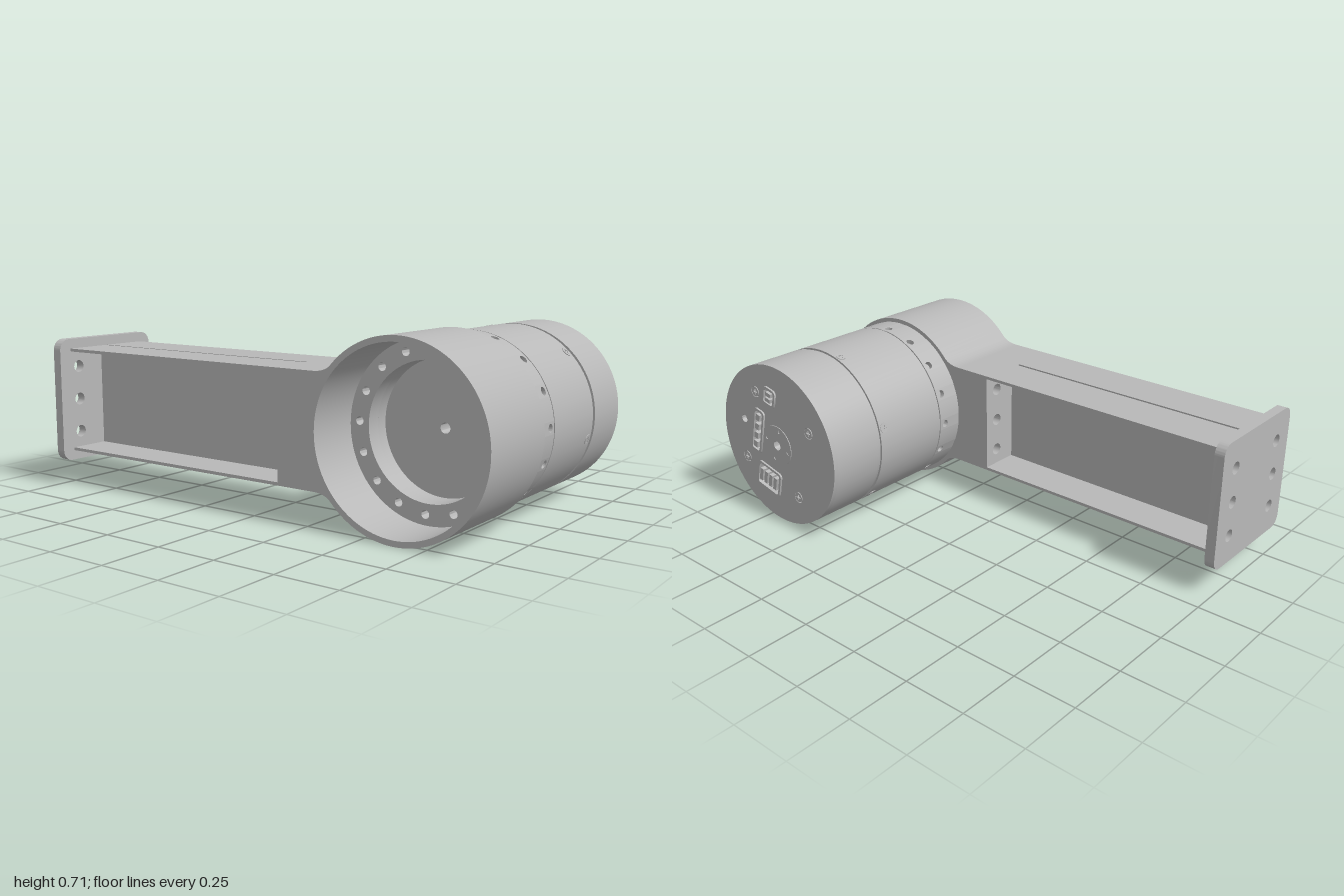
import * as THREE from 'three';
import { toCreasedNormals } from 'three/addons/utils/BufferGeometryUtils.js';

const CY = 0.36, CZ = 0.64;            // axis of the motor and its clamp ring
const RAD = Math.PI / 180;
const metal = new THREE.MeshStandardMaterial({ color: 0xb8b8b8 });
metal.name = 'grey metal';

function add(parent, name, geo, x = 0, y = 0, z = 0) {
  const m = new THREE.Mesh(geo, metal);
  m.name = name;
  m.position.set(x, y, z);
  parent.add(m);
  return m;
}
function boxFrom(parent, name, x0, x1, y0, y1, z0, z1) {
  return add(parent, name, new THREE.BoxGeometry(x1 - x0, y1 - y0, z1 - z0),
    (x0 + x1) / 2, (y0 + y1) / 2, (z0 + z1) / 2);
}
function roundRect(w, h, r) {
  const s = new THREE.Shape(), a = w / 2 - r, b = h / 2 - r;
  s.absarc(a, b, r, 0, Math.PI / 2);
  s.absarc(-a, b, r, Math.PI / 2, Math.PI);
  s.absarc(-a, -b, r, Math.PI, 1.5 * Math.PI);
  s.absarc(a, -b, r, 1.5 * Math.PI, 2 * Math.PI);
  s.closePath();
  return s;
}
function circle(r, x = 0, y = 0) {
  return new THREE.Shape().absarc(x, y, r, 0, Math.PI * 2);
}
function rect(w, h) {
  const a = w / 2, b = h / 2;
  return new THREE.Shape([[-a, -b], [a, -b], [a, b], [-a, b]].map(p => new THREE.Vector2(...p)));
}
// Moves and turns a shape in its own plane
function placed(shape, x, y, turn = 0) {
  const o = new THREE.Vector2();
  return new THREE.Shape(shape.getPoints(6).map(p => p.clone().rotateAround(o, turn).add(new THREE.Vector2(x, y))));
}
function plate(shape, holes, depth, seg = 10) {
  shape.holes.push(...holes);
  return toCreasedNormals(new THREE.ExtrudeGeometry(shape, { depth, bevelEnabled: false, curveSegments: seg }), 0.6);
}
// Turned part about the x axis, profile given as [radius, x]
function turned(profile, seg = 96, start = 0, length = Math.PI * 2) {
  const pts = profile.map(p => new THREE.Vector2(...p));
  return toCreasedNormals(new THREE.LatheGeometry(pts, seg, start, length), 0.6).rotateZ(-Math.PI / 2);
}
// Cross-head screw facing +z
function screw(parent, r, x, y, z) {
  const a = r * 0.55, b = r * 0.13;
  const cross = new THREE.Shape([[a, -b], [a, b], [b, b], [b, a], [-b, a], [-b, b], [-a, b], [-a, -b],
    [-b, -b], [-b, -a], [b, -a], [b, -b]].map(p => new THREE.Vector2(...p)));
  add(parent, 'screwHead', plate(circle(r), [cross], 0.006), x, y, z);
}

// I-beam arm with its end plate and bulkhead
function buildArm(g) {
  const arm = new THREE.Group();
  arm.name = 'arm';
  g.add(arm);
  const X = -0.34, x0 = -0.535, x1 = -0.145;
  const grid = (dx, dy, r) => [-1, 1].flatMap(i => [-1, 0, 1].map(j => circle(r, i * dx, j * dy)));
  add(arm, 'endPlate', plate(roundRect(0.5, 0.51, 0.045), grid(0.155, 0.138, 0.025), 0.04), X, CY, -1);
  add(arm, 'bulkhead', plate(rect(x1 - x0, 0.43), grid(0.13, 0.138, 0.025), 0.05), X, CY, 0.14);
  boxFrom(arm, 'web', X - 0.03, X + 0.03, 0.157, 0.563, -0.96, 0.14);
  for (const y of [0.145, 0.563]) {
    // flange split by a narrow slot
    boxFrom(arm, 'flangeRight', x0, X - 0.006, y, y + 0.012, -0.96, 0.13);
    boxFrom(arm, 'flangeLeft', X + 0.006, x1, y, y + 0.012, -0.96, 0.13);
    boxFrom(arm, 'flangeRoot', x0, x1, y, y + 0.012, 0.13, 0.14);
  }
}

// Clamp ring running into the neck of the arm
function buildRing(g) {
  const s = new THREE.Shape(), a = 42 * RAD, R = 0.357;
  s.moveTo(0.45, -0.215);
  s.lineTo(0.45, 0.215);
  s.lineTo(0.34, 0.215);
  s.quadraticCurveTo(0.29, 0.215, R * Math.cos(a), R * Math.sin(a));
  s.absarc(0, 0, R, a, 2 * Math.PI - a);
  s.quadraticCurveTo(0.29, -0.215, 0.34, -0.215);
  s.closePath();
  const ring = plate(s, [circle(0.335)], 0.39, 48).rotateY(Math.PI / 2);
  add(g, 'clampRing', ring, -0.535, CY, CZ);
  const holes = [];
  for (let i = 0; i < 16; i++) {
    const t = (i * 22.5 + 2.5) * RAD;
    holes.push(circle(0.016, 0.295 * Math.cos(t), 0.295 * Math.sin(t)));
  }
  const flange = plate(circle(0.336), [circle(0.255), ...holes], 0.06, 40).rotateY(Math.PI / 2);
  add(g, 'innerFlange', flange, -0.31, CY, CZ);
}

function buildMotor(g) {
  const motor = new THREE.Group();
  motor.name = 'motor';
  motor.position.set(0, CY, CZ);
  g.add(motor);
  // body with the seams turned into it and a hollow shaft
  add(motor, 'motorBody', turned([[0.02, -0.2], [0.255, -0.2], [0.255, -0.25], [0.315, -0.25], [0.315, -0.026],
    [0.34, -0.026], [0.34, 0.315], [0.332, 0.315], [0.332, 0.335], [0.34, 0.335], [0.34, 0.55],
    [0.02, 0.55], [0.02, -0.2]]));

  // mounting band with sixteen radial holes
  const half = 4 * RAD, step = 22.5 * RAD;
  const filler = turned([[0.318, -0.146], [0.34, -0.146], [0.34, -0.031], [0.318, -0.031]], 6, half, step - 2 * half);
  const tile = plate(placed(rect(0.115, 0.68 * Math.sin(half)), -0.0885, 0), [circle(0.016, -0.06, 0)], 0.02);
  for (let i = 0; i < 16; i++) {
    const part = new THREE.Group();
    part.name = 'mountingBand';
    part.rotation.x = -(2.5 * RAD + i * step);
    add(part, 'bandSegment', filler);
    add(part, 'bandHole', tile, 0, 0, 0.34 * Math.cos(half) - 0.02);
    motor.add(part);
  }
  // six screws around the body
  for (let i = 0; i < 6; i++) {
    const part = new THREE.Group();
    part.name = 'bodyScrew';
    part.rotation.x = -(46.4 + i * 60) * RAD;
    screw(part, 0.02, 0.29, 0, 0.336);
    motor.add(part);
  }
  buildEnd(motor);
}

// End face: local x runs to the back, local z points out
function buildEnd(motor) {
  const end = new THREE.Group();
  end.name = 'endFace';
  end.position.x = 0.55;
  end.rotation.y = Math.PI / 2;
  motor.add(end);
  const tilt = -0.23, top = 0.02;
  const screws = [[-0.115, 0.205], [0.2, 0.11], [-0.21, -0.11], [0.107, -0.2]];
  const sockets = [                       // u, v, width, height, pins across, pins up
    [-0.025, 0.205, 0.075, 0.08, 1, 2],
    [-0.117, 0.035, 0.065, 0.2, 1, 4],
    [-0.07, -0.17, 0.145, 0.115, 4, 1]];
  const holes = [circle(0.02), circle(0.017, -0.205, 0.063),
    ...screws.map(([x, y]) => circle(0.024, x, y)),
    ...sockets.map(([x, y, w, h]) => placed(roundRect(w - 0.02, h - 0.02, 0.01), x, y, tilt))];
  add(end, 'endPanel', plate(circle(0.34), holes, top, 48));
  screws.forEach(([x, y]) => screw(end, 0.021, x, y, top - 0.005));

  // hub disc with small holes
  const hubHoles = [[-0.06, 0.02], [0.02, 0.065], [0.065, -0.015], [-0.02, -0.06]].map(([x, y]) => circle(0.008, x, y));
  add(end, 'hubDisc', plate(circle(0.085), [circle(0.02), ...hubHoles], 0.003, 20), 0, 0, top);

  // connector sockets with pins
  sockets.forEach(([x, y, w, h, nx, ny]) => {
    const c = new THREE.Group();
    c.name = 'connector';
    c.position.set(x, y, 0);
    c.rotation.z = tilt;
    end.add(c);
    const frame = plate(roundRect(w, h, 0.018), [roundRect(w - 0.02, h - 0.02, 0.01)], 0.008);
    add(c, 'connectorFrame', frame, 0, 0, top);
    const pw = (w - 0.03) / nx, ph = (h - 0.03) / ny;
    for (let i = 0; i < nx; i++) for (let j = 0; j < ny; j++) {
      add(c, 'connectorPin', new THREE.BoxGeometry(pw * 0.65, ph * 0.65, 0.03),
        (i - (nx - 1) / 2) * pw, (j - (ny - 1) / 2) * ph, 0.016);
    }
  });
}

export function createModel() {
  const g = new THREE.Group();
  g.name = 'motorOnArm';
  buildArm(g);
  buildRing(g);
  buildMotor(g);
  return g;
}
